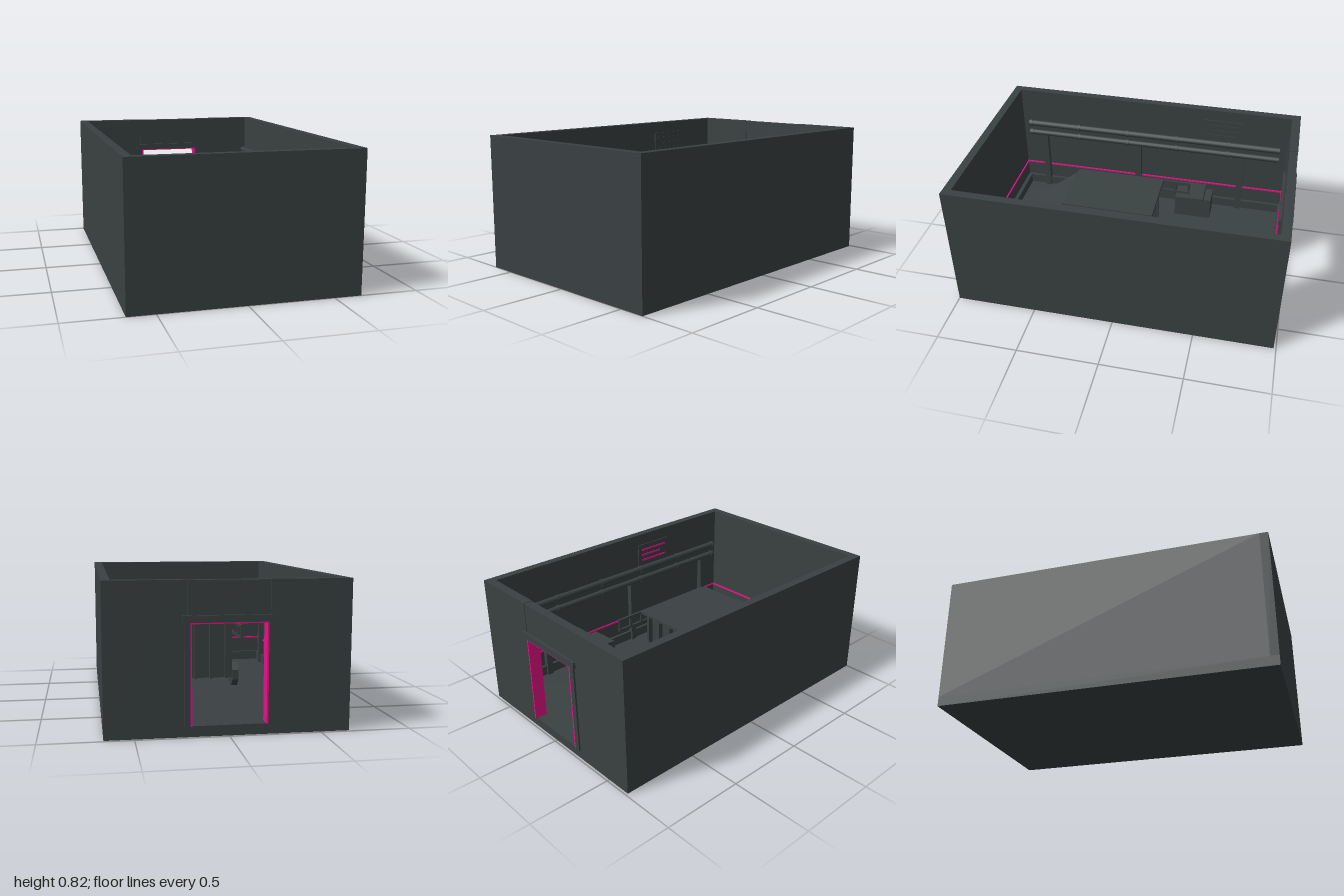
import * as THREE from 'three';

const slate = new THREE.MeshStandardMaterial({ color: 0x3a4142 });
slate.name = 'slate';
const magenta = new THREE.MeshStandardMaterial({ color: 0xe81288 });
magenta.name = 'magenta';

export function createModel() {
  const room = new THREE.Group();
  room.name = 'room';

  // Box given by its limits on each axis
  function box(name, x0, x1, y0, y1, z0, z1, mat = slate, parent = room) {
    const m = new THREE.Mesh(new THREE.BoxGeometry(x1 - x0, y1 - y0, z1 - z0), mat);
    m.position.set((x0 + x1) / 2, (y0 + y1) / 2, (z0 + z1) / 2);
    m.name = name;
    parent.add(m);
    return m;
  }
  // Cylinder along z or x
  function rod(name, axis, r, len, x, y, z, sides = 12, parent = room) {
    const g = new THREE.CylinderGeometry(r, r, len, sides);
    if (sides <= 8) g.rotateY(Math.PI / sides);
    if (axis === 'z') g.rotateX(Math.PI / 2); else g.rotateZ(Math.PI / 2);
    const m = new THREE.Mesh(sides <= 8 ? g.toNonIndexed() : g, slate);
    if (sides <= 8) m.geometry.computeVertexNormals();
    m.position.set(x, y, z);
    m.name = name;
    parent.add(m);
  }

  // Floor and walls
  const top = 0.825, fl = 0.06;
  box('floorSlab', -0.66, 0.66, 0, 0.058, -0.985, 1);
  box('frontWall', -0.66, 0.66, fl - 0.002, top, 0.95, 1);
  box('doorLintelPanel', -0.219, 0.219, 0.61, top - 0.002, -0.983, -0.932);
  box('frontStripe', -0.61, 0.61, 0.225, 0.235, 0.942, 0.951, magenta);
  box('frontBaseboard', -0.6, 0.6, fl - 0.002, 0.12, 0.925, 0.951);

  for (const s of [-1, 1]) {
    const sx = (name, a, b, ...rest) => box(name, Math.min(s * a, s * b), Math.max(s * a, s * b), ...rest);
    sx('sideWall', 0.61, 0.66, fl - 0.002, top, -0.985, 0.95);
    sx('backWall', 0.221, 0.61, fl - 0.002, top, -0.985, -0.93);
    sx('sideStripe', 0.602, 0.611, 0.225, 0.235, -0.93, 0.945, magenta);
    sx('backStripe', 0.235, 0.605, 0.225, 0.235, -0.931, -0.926, magenta);
    sx('sideBaseboard', 0.59, 0.611, fl - 0.002, 0.12, -0.93, 0.945);
    sx('backBaseboard', 0.25, 0.6, fl - 0.002, 0.12, -0.931, -0.915);

    // Door posts with bright liners
    sx('doorPost', 0.207, 0.24, fl - 0.002, 0.612, -0.995, -0.92);
    sx('doorLiner', 0.199, 0.208, fl - 0.002, 0.605, -0.996, -0.919, magenta);

    // Pipes with couplings
    rod('upperPipe', 'z', 0.02, 1.78, s * 0.58, 0.585, 0.01);
    rod('lowerPipe', 'z', 0.018, 1.78, s * 0.583, 0.51, 0.01);
    for (const z of [-0.53, -0.17, 0.18, 0.53, 0.885]) {
      rod('pipeCoupling', 'z', 0.024, 0.018, s * 0.58, 0.585, z);
      rod('pipeCoupling', 'z', 0.022, 0.018, s * 0.583, 0.51, z);
    }
    // Posts under the pipes
    for (const z of [-0.63, 0.1, 0.79]) sx('wallPost', 0.575, 0.611, fl - 0.002, 0.495, z - 0.02, z + 0.02);

    // Wall cabinet with an overhanging tray
    sx('cabinet', 0.42, 0.56, fl - 0.002, 0.21, -0.45, -0.2);
    sx('cabinetTray', 0.37, 0.56, 0.209, 0.25, -0.4, -0.25);

    // Wall sign with three lines
    const z0 = s > 0 ? 0.185 : -0.62;
    sx('wallSign', 0.603, 0.611, 0.595, 0.75, z0, z0 + 0.275);
    for (let i = 0; i < 3; i++) {
      sx('signLine', 0.598, 0.604, 0.63 + i * 0.038, 0.641 + i * 0.038,
        z0 + 0.03, z0 + 0.245 - (i === 1 ? 0.05 : 0), s > 0 ? magenta : slate);
    }
  }
  box('doorHeader', -0.25, 0.25, 0.604, 0.642, -1, -0.915);
  box('doorHeaderLiner', -0.2, 0.2, 0.597, 0.605, -0.996, -0.919, magenta);

  // Cart: side profile (z, y) extruded across its width
  const cart = new THREE.Group();
  cart.name = 'cart';
  room.add(cart);
  const profile = new THREE.Shape([[-0.1, 0.13], [0.765, 0.13], [0.765, 0.3], [0.64, 0.32], [0.43, 0.49], [-0.1, 0.49]]
    .map(([z, y]) => new THREE.Vector2(-z, y)));
  const body = new THREE.ExtrudeGeometry(profile, { depth: 0.38, bevelEnabled: false });
  body.translate(0, 0, -0.19).rotateY(Math.PI / 2);
  const bodyMesh = new THREE.Mesh(body, slate);
  bodyMesh.name = 'cartBody';
  cart.add(bodyMesh);
  box('cartRoof', -0.195, 0.195, 0.485, 0.503, -0.15, 0.43, slate, cart);
  rod('cartBumper', 'x', 0.015, 0.4, 0, 0.25, 0.775, 12, cart);

  for (const s of [-1, 1]) {
    const x = s * 0.203;
    // Rear side rails
    for (const y of [0.42, 0.49]) box('rearRail', x - 0.007, x + 0.007, y - 0.008, y + 0.008, -0.33, 0.42, slate, cart);
    for (const z of [-0.32, -0.23, -0.14]) box('rearRailPost', x - 0.006, x + 0.006, 0.42, 0.49, z - 0.007, z + 0.007, slate, cart);
    // Wheels with hubs
    for (const z of [-0.02, 0.555]) {
      rod('wheel', 'x', 0.085, 0.04, s * 0.214, 0.143, z, 8, cart);
      rod('wheelHub', 'x', 0.03, 0.02, s * 0.23, 0.143, z, 8, cart);
    }
  }
  // Slats on the back of the cart
  for (const x of [-0.15, -0.05, 0.05, 0.15]) box('rearSlat', x - 0.01, x + 0.01, 0.13, 0.486, -0.13, -0.099, slate, cart);

  return room;
}
